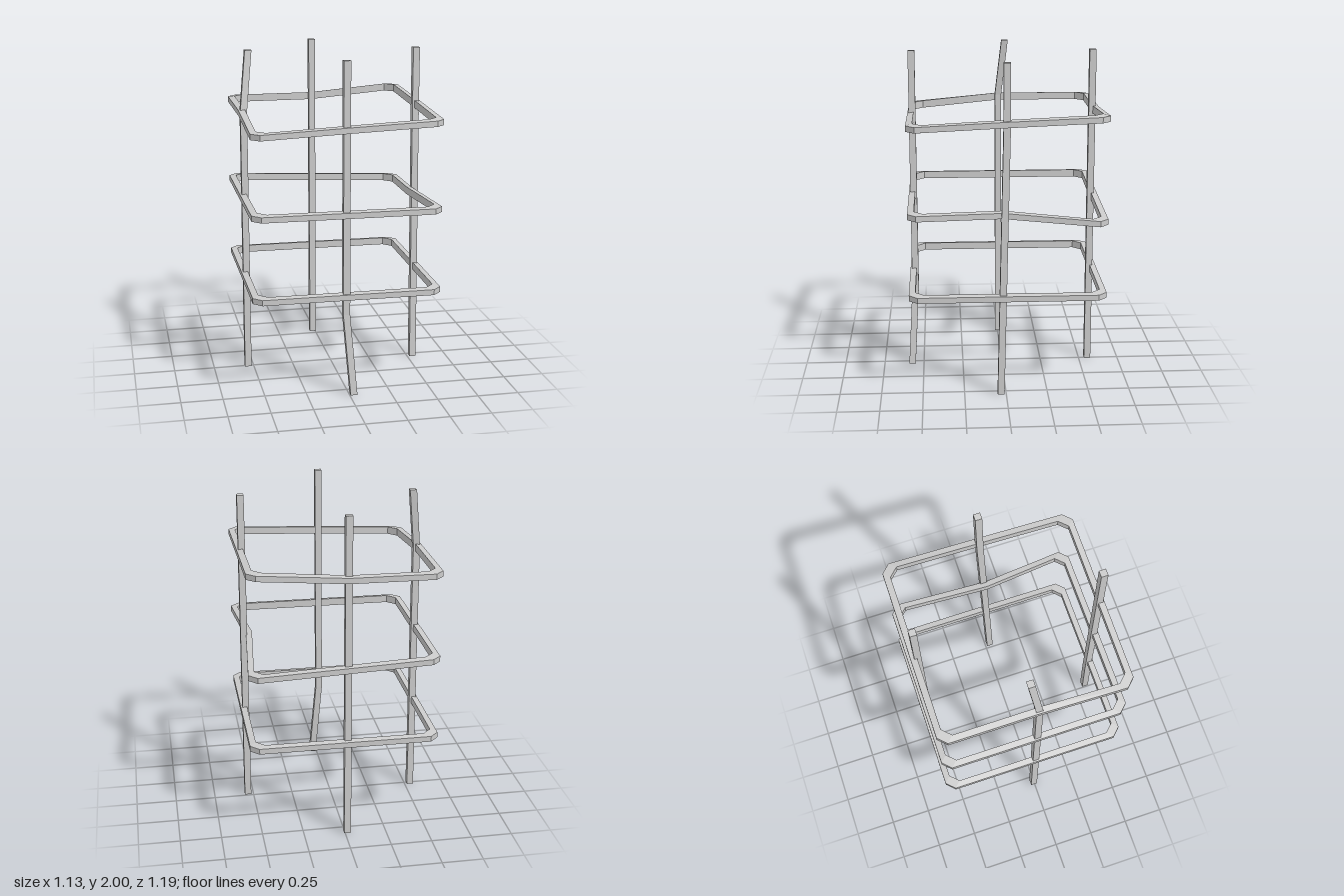
import * as THREE from 'three';

// Skins four-point sections one after another with flat faces
function loft(sections, closed) {
  const pos = [];
  const quad = (a, b, c, d) => pos.push(...a, ...b, ...c, ...a, ...c, ...d);
  const n = sections.length;
  for (let i = 0; i < (closed ? n : n - 1); i++) {
    const s = sections[i], t = sections[(i + 1) % n];
    for (let k = 0; k < 4; k++) {
      const m = (k + 1) % 4;
      quad(s[k], s[m], t[m], t[k]);
    }
  }
  if (!closed) {
    const [a, b, c, d] = sections[0];
    quad(d, c, b, a);
    quad(...sections[n - 1]);
  }
  const g = new THREE.BufferGeometry();
  g.setAttribute('position', new THREE.Float32BufferAttribute(pos, 3));
  g.computeVertexNormals();
  return g;
}

// Square post through a few centre points
function post(points) {
  const h = 0.0205;
  return loft(points.map(([x, y, z]) => [
    [x - h, y, z - h], [x - h, y, z + h], [x + h, y, z + h], [x + h, y, z - h],
  ]), false);
}

const X = 0.566, Z = 0.586, ZC = -0.012, BAR = 0.038, CUT = 0.051;

// Square hoop with cut corners; heights of corners and bar middles, plus an inward dent on the left bar
function hoop(corners, mids, dent = 0) {
  const sections = [];
  const add = (ox, oz, ix, iz, y) => sections.push([
    [ox, y - 0.017, oz], [ox, y + 0.017, oz], [ix, y + 0.023, iz], [ix, y - 0.023, iz],
  ]);
  const signs = [[1, -1], [1, 1], [-1, 1], [-1, -1]];
  const middle = [
    [X - dent, 0.02, X - BAR - dent, 0.02],
    [-0.015, ZC + Z, -0.015, ZC + Z - BAR],
    [-X, 0, -X + BAR, 0],
    [-0.015, ZC - Z, -0.015, ZC - Z + BAR],
  ];
  signs.forEach(([sx, sz], i) => {
    const zFirst = sx * sz < 0;
    for (const onZBar of [zFirst, !zFirst]) {
      const cx = onZBar ? CUT : 0, cz = onZBar ? 0 : CUT;
      add(sx * (X - cx), ZC + sz * (Z - cz),
        sx * (X - BAR - cx), ZC + sz * (Z - BAR - cz), corners[i]);
    }
    add(...middle[i], mids[i]);
  });
  return loft(sections, true);
}

export function createModel() {
  const group = new THREE.Group();
  const material = new THREE.MeshStandardMaterial({ color: 0xcccccc, flatShading: true });
  const part = (name, geometry) => {
    const mesh = new THREE.Mesh(geometry, material);
    mesh.name = name;
    group.add(mesh);
  };

  // Uprights, three of them slightly bent
  part('backPost', post([[-0.015, 0, -0.556], [-0.015, 2, -0.556]]));
  part('frontPost', post([[0.026, 0, 0.573], [-0.015, 0.5, 0.545], [-0.015, 2, 0.545]]));
  part('leftPost', post([[0.535, 0, 0.031], [0.535, 1.63, -0.004], [0.535, 2, -0.004]]));
  part('rightPost', post([[-0.535, 0, -0.004], [-0.535, 1.64, -0.004], [-0.497, 2, -0.045]]));

  // Hoops: corners run back left, front left, front right, back right;
  // middles run left, front, right, back
  part('lowerHoop', hoop([0.609, 0.609, 0.609, 0.609], [0.609, 0.609, 0.609, 0.609]));
  part('middleHoop', hoop([1.06, 1.105, 1.105, 1.105], [1.105, 1.105, 1.105, 1.083], 0.046));
  part('upperHoop', hoop([1.672, 1.625, 1.58, 1.628], [1.649, 1.603, 1.628, 1.63]));

  return group;
}
